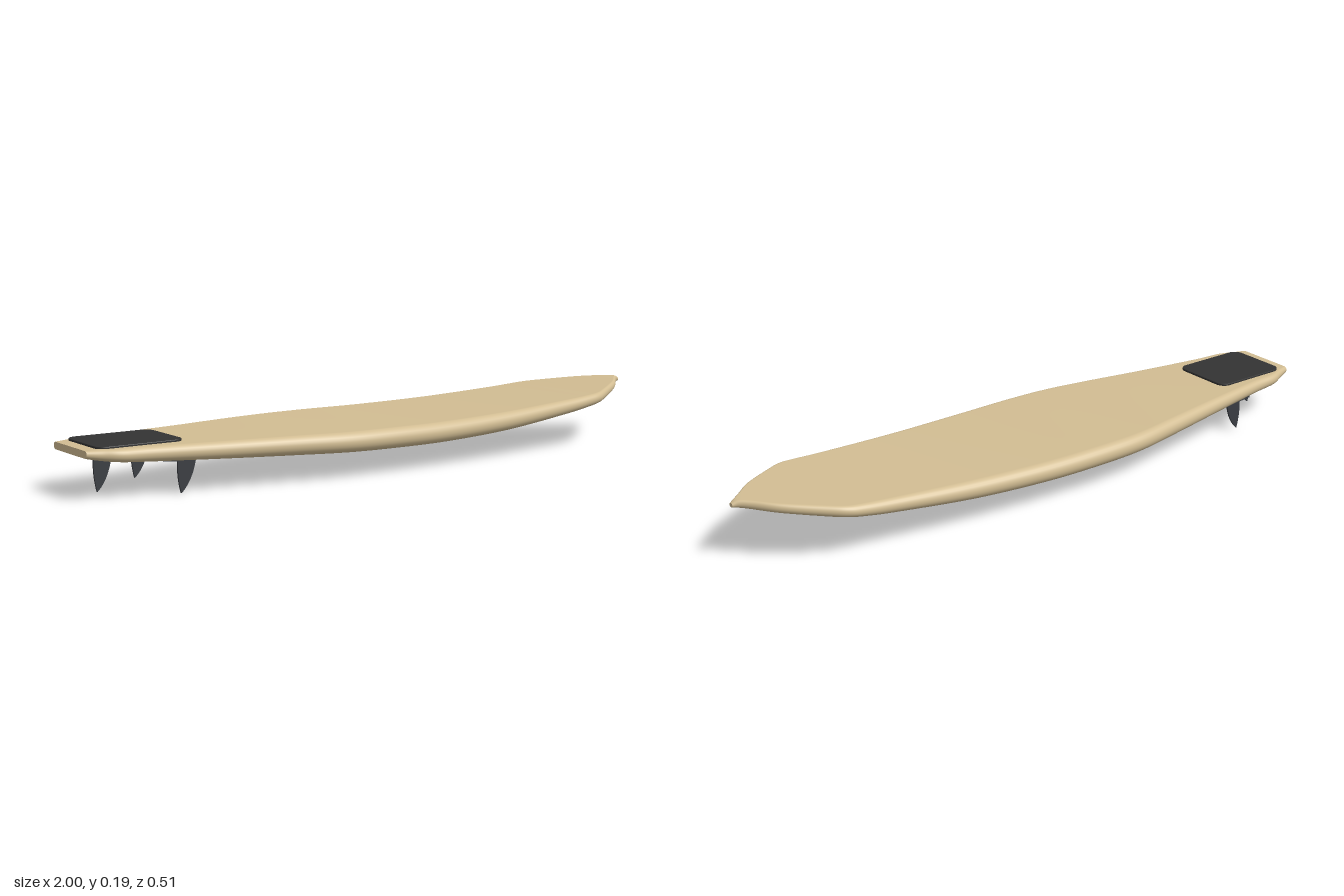
import * as THREE from 'three';

const deckMat = new THREE.MeshStandardMaterial({ color: 0xd2bd93 });
const padMat = new THREE.MeshStandardMaterial({ color: 0x333333 });
const finMat = new THREE.MeshStandardMaterial({ color: 0x3a3d42 });

// Stations from tail to nose: x, half width, underside y, deck y
const stations = [
  [-1, 0.103, 0.115, 0.136], [-0.96, 0.118, 0.107, 0.137], [-0.91, 0.138, 0.101, 0.137],
  [-0.82, 0.148, 0.095, 0.137], [-0.6, 0.186, 0.086, 0.136], [-0.4, 0.224, 0.08, 0.136],
  [-0.25, 0.249, 0.076, 0.135], [-0.1, 0.255, 0.074, 0.135], [0.1, 0.25, 0.074, 0.135],
  [0.35, 0.233, 0.084, 0.141], [0.6, 0.211, 0.109, 0.154], [0.7, 0.202, 0.123, 0.161],
  [0.75, 0.192, 0.131, 0.165], [0.8, 0.164, 0.138, 0.17], [0.9, 0.096, 0.152, 0.18],
  [0.96, 0.038, 0.16, 0.185], [0.985, 0.016, 0.163, 0.185], [1, 0.008, 0.166, 0.178],
];

function boardGeometry() {
  const curves = [1, 2, 3].map(k =>
    new THREE.SplineCurve(stations.map(s => new THREE.Vector2(s[0], s[k]))));
  const rows = (stations.length - 1) * 6, arc = 14, ring = arc * 2;
  const pos = [], index = [];
  for (let i = 0; i <= rows; i++) {
    const [w, lo, hi] = curves.map(c => c.getPoint(i / rows));
    const half = (hi.y - lo.y) / 2, mid = (hi.y + lo.y) / 2;
    const rail = Math.min(half, w.y);
    // Flat deck and underside joined by two round rails
    for (let j = 0; j < ring; j++) {
      const side = j < arc ? 1 : -1;
      const a = -Math.PI / 2 + Math.PI * (j % arc) / (arc - 1);
      pos.push(w.x, mid + side * half * Math.sin(a), side * (w.y - rail + rail * Math.cos(a)));
    }
  }
  for (let i = 0; i < rows; i++) {
    for (let j = 0; j < ring; j++) {
      const a = i * ring + j, b = i * ring + (j + 1) % ring;
      index.push(a, a + ring, b, b, a + ring, b + ring);
    }
  }
  // Flat caps at tail and nose with their own vertices for crisp edges
  for (const row of [0, rows]) {
    const start = pos.length / 3;
    for (let j = 0; j < ring * 3; j++) pos.push(pos[row * ring * 3 + j]);
    for (let j = 1; j < ring - 1; j++) {
      if (row === 0) index.push(start, start + j, start + j + 1);
      else index.push(start, start + j + 1, start + j);
    }
  }
  const g = new THREE.BufferGeometry();
  g.setAttribute('position', new THREE.Float32BufferAttribute(pos, 3));
  g.setIndex(index);
  g.computeVertexNormals();
  return g;
}

// Rounded rectangle lying on the deck
function padGeometry(length, width, r) {
  const x = length / 2, y = width / 2;
  const s = new THREE.Shape();
  s.absarc(x - r, y - r, r, 0, Math.PI / 2);
  s.absarc(-x + r, y - r, r, Math.PI / 2, Math.PI);
  s.absarc(-x + r, -y + r, r, Math.PI, Math.PI * 1.5);
  s.absarc(x - r, -y + r, r, Math.PI * 1.5, Math.PI * 2);
  const g = new THREE.ExtrudeGeometry(s, {
    depth: 0.008, bevelEnabled: true, bevelThickness: 0.002, bevelSize: 0.002,
    bevelOffset: -0.002, bevelSegments: 2, curveSegments: 8,
  });
  return g.rotateX(-Math.PI / 2);
}

// Swept blade with a narrow foot, tip at the origin
function finGeometry(root) {
  const s = new THREE.Shape();
  s.moveTo(0, 0);
  s.quadraticCurveTo(0.034, 0.03, 0.046, root);
  s.lineTo(0.046, root + 0.025);
  s.lineTo(-0.052, root + 0.025);
  s.lineTo(-0.052, root + 0.004);
  s.lineTo(-0.009, root);
  s.quadraticCurveTo(-0.012, 0.045, 0, 0);
  const t = 0.006;
  const g = new THREE.ExtrudeGeometry(s, { depth: t, bevelEnabled: false, curveSegments: 10 });
  return g.translate(0, 0, -t / 2);
}

export function createModel() {
  const model = new THREE.Group();
  model.name = 'surfboard';
  const add = (name, geometry, material, x, y, z) => {
    const mesh = new THREE.Mesh(geometry, material);
    mesh.name = name;
    mesh.position.set(x, y, z);
    model.add(mesh);
  };

  add('board', boardGeometry(), deckMat, 0, 0, 0);
  add('tailPad', padGeometry(0.26, 0.21, 0.03), padMat, -0.835, 0.133, -0.003);

  // Two side fins ahead of one centre fin
  const sideFin = finGeometry(0.089);
  add('frontSideFin', sideFin, finMat, -0.738, 0, 0.133);
  add('backSideFin', sideFin, finMat, -0.738, 0, -0.142);
  add('centreFin', finGeometry(0.1), finMat, -0.922, 0.002, -0.004);
  return model;
}
